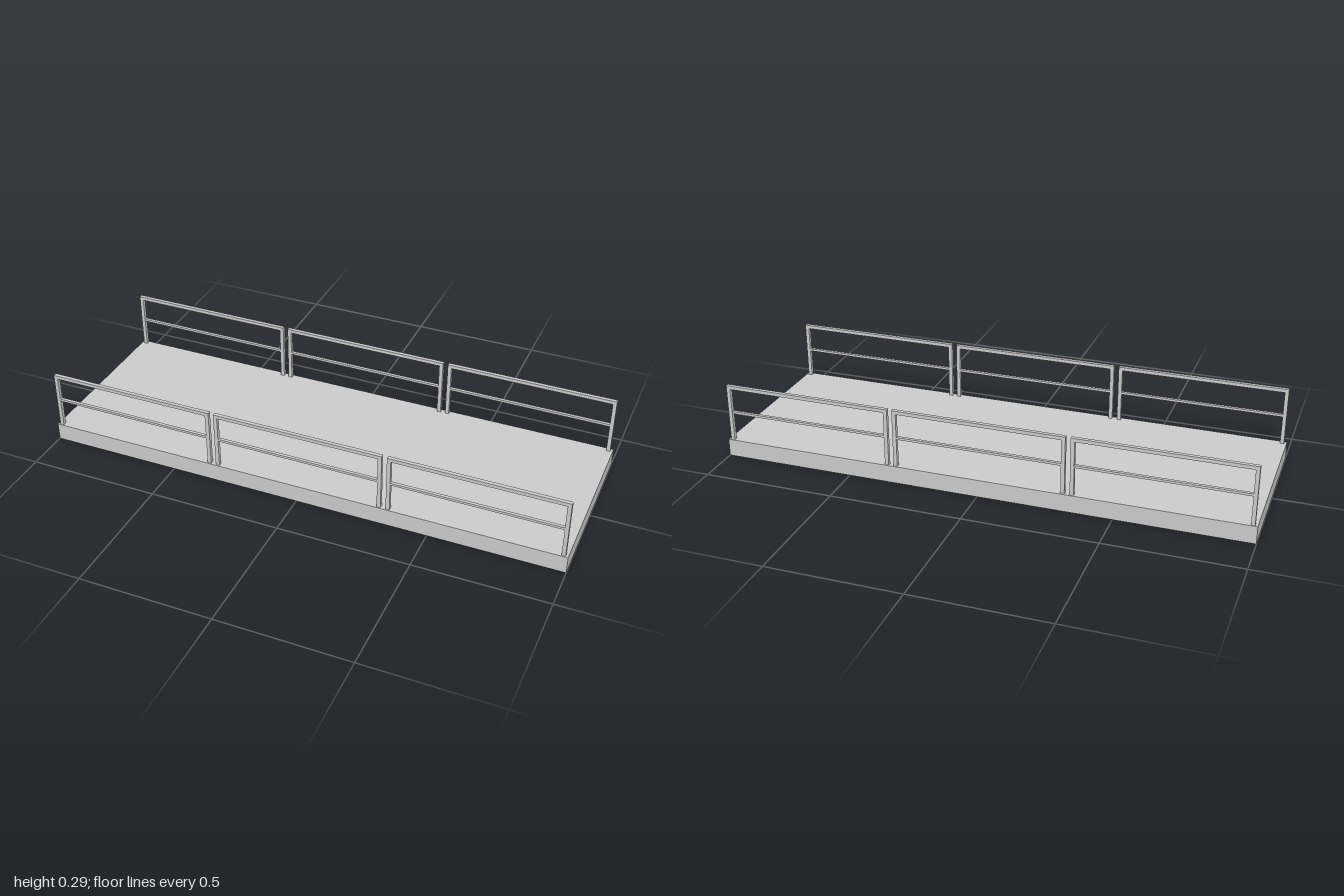
import * as THREE from 'three';

const L = 2, W = 0.667, DECK = 0.067, TOP = 0.289, POST = 0.0145, SHEET = 0.003;
const material = new THREE.MeshStandardMaterial({ color: 0xcccccc });

function box(parent, name, sx, sy, sz, x, y, z) {
  const mesh = new THREE.Mesh(new THREE.BoxGeometry(sx, sy, sz), material);
  mesh.name = name;
  mesh.position.set(x, y, z);
  parent.add(mesh);
}

// One guardrail section: two posts, a top rail and a thinner middle rail
function railing(name, x, z) {
  const group = new THREE.Group();
  group.name = name;
  group.position.set(x, 0, z);
  const reach = 0.3165, span = 2 * reach - POST, height = TOP - DECK;
  for (const s of [-1, 1]) {
    box(group, 'post', POST, height, POST, s * reach, DECK + height / 2, 0);
  }
  box(group, 'topRail', span, 0.0135, POST, 0, TOP - 0.00675, 0);
  box(group, 'middleRail', span, 0.009, 0.012, 0, 0.18, 0);
  return group;
}

export function createModel() {
  const model = new THREE.Group();
  model.name = 'platform';

  // Deck sheet with a skirt, open underneath
  box(model, 'deck', L, SHEET, W, 0, DECK - SHEET / 2, 0);
  const skirt = DECK - SHEET;
  for (const s of [-1, 1]) {
    box(model, 'sideSkirt', L, skirt, SHEET, 0, skirt / 2, s * (W - SHEET) / 2);
    box(model, 'endSkirt', SHEET, skirt, W - 2 * SHEET, s * (L - SHEET) / 2, skirt / 2, 0);
    // Cross plates dividing the underside into three bays
    box(model, 'crossPlate', SHEET, skirt, W - 2 * SHEET, s * L / 6, skirt / 2, 0);
  }

  // Three railing sections along each long side
  for (const s of [-1, 1]) {
    for (const bay of [-1, 0, 1]) {
      model.add(railing(s > 0 ? 'frontRailing' : 'backRailing', bay * L / 3, s * 0.322));
    }
  }
  return model;
}
